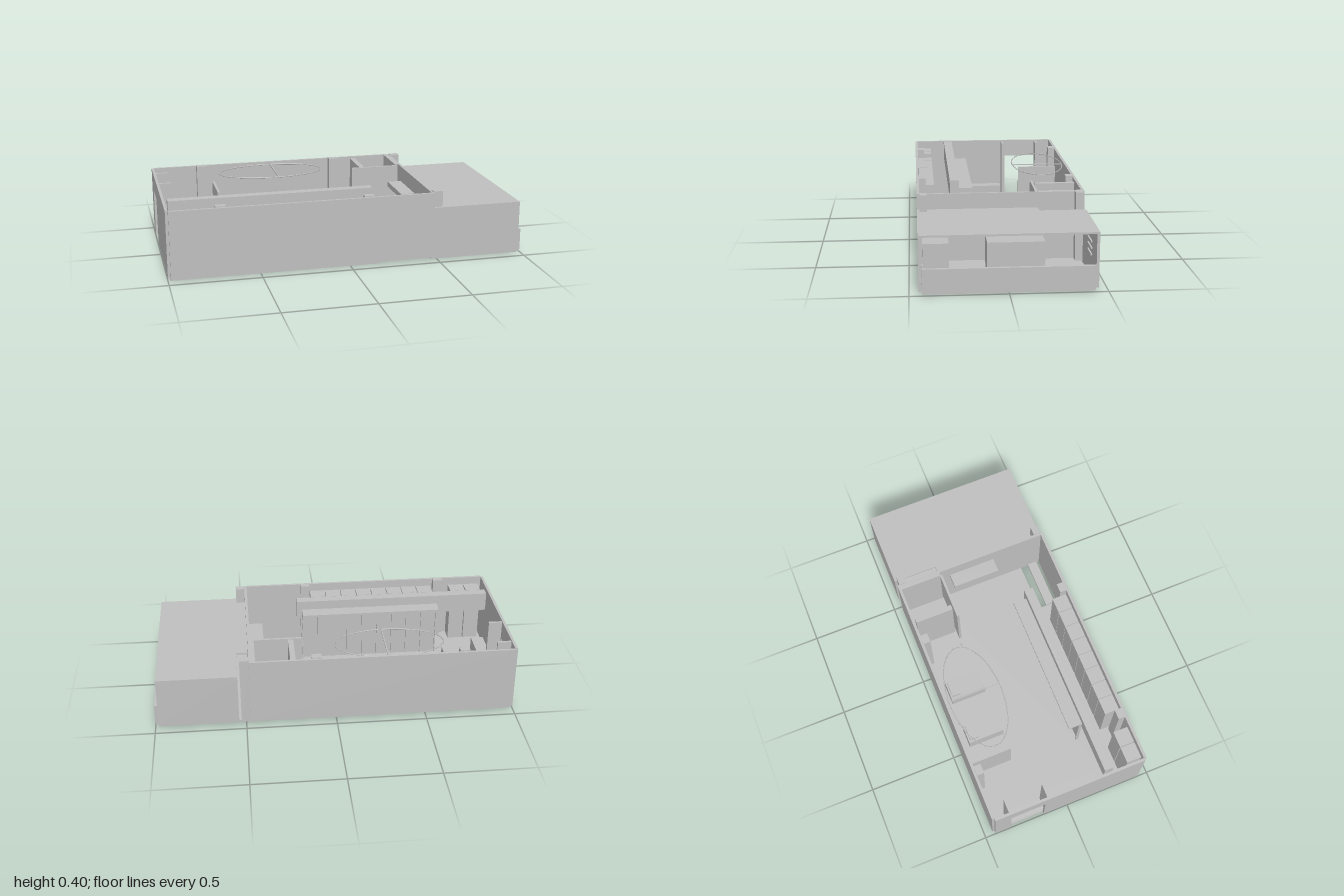
import * as THREE from 'three';

export function createModel() {
  const root = new THREE.Group();
  root.name = 'cutawayBuilding';
  const grey = new THREE.MeshStandardMaterial({ color: 0xbfbfbf });
  grey.name = 'plainGrey';

  // Box given by its limits on each axis
  const box = (name, x0, x1, y0, y1, z0, z1, parent = root) => {
    const mesh = new THREE.Mesh(new THREE.BoxGeometry(x1 - x0, y1 - y0, z1 - z0), grey);
    mesh.position.set((x0 + x1) / 2, (y0 + y1) / 2, (z0 + z1) / 2);
    mesh.name = name;
    parent.add(mesh);
    return mesh;
  };
  const group = (name) => {
    const g = new THREE.Group();
    g.name = name;
    root.add(g);
    return g;
  };
  const F = 0.015, TOP = 0.39;

  // Floor slab with a well beside the front wall
  const floor = group('floor');
  box('floorMain', -0.985, 0.98, 0, F, -0.435, 0.32, floor);
  box('floorFrontLeft', -0.985, 0.17, 0, F, 0.32, 0.435, floor);
  box('floorFrontRight', 0.465, 0.98, 0, F, 0.32, 0.435, floor);
  box('wellStep', 0.17, 0.465, 0.015, 0.03, 0.365, 0.42);

  // Long outer walls, with a gap in the back one
  const walls = group('outerWalls');
  box('frontWall', -0.985, 0.475, F, TOP, 0.438, 0.453, walls);
  box('frontWallLow', 0.475, 0.98, F, 0.295, 0.438, 0.453, walls);
  box('backWall', -0.985, 0.475, F, TOP, -0.453, -0.438, walls);
  box('backWallLow', 0.54, 0.98, F, 0.295, -0.453, -0.438, walls);

  // End wall with a doorway, and the low wall of the porch
  box('endWallFront', -1, -0.985, F, TOP, -0.145, 0.44, walls);
  box('endWallBack', -1, -0.985, F, TOP, -0.44, -0.345, walls);
  box('doorHead', -1, -0.985, 0.285, TOP, -0.345, -0.145, walls);
  box('porchParapet', 0.98, 1, F, 0.137, -0.435, 0.435, walls);

  // Porch roof, notched around the back passage
  const roof = group('porchRoof');
  box('roofMain', 0.54, 0.98, 0.295, 0.305, -0.453, 0.453, roof);
  box('roofSide', 0.475, 0.54, 0.295, 0.305, -0.2, 0.453, roof);

  // Columns along both long walls
  for (const x of [-0.735, 0.08, 0.472]) {
    box('backColumn', x, x + 0.054, F, 0.395, -0.44, -0.398);
    box('frontColumn', x, x + 0.054, F, 0.395, 0.4, 0.438);
  }

  // Inner walls
  const inner = group('innerWalls');
  box('dividerWall', 0.46, 0.475, F, TOP, -0.2, 0.438, inner);
  box('dividerWallBack', 0.44, 0.475, F, TOP, -0.438, -0.2, inner);
  box('smallRoomWall', 0.17, 0.445, F, 0.383, -0.202, -0.188, inner);
  box('smallRoomPartition', 0.22, 0.25, F, 0.383, -0.43, -0.21, inner);
  box('roomPartition', -0.64, -0.625, F, 0.285, -0.438, -0.2, inner);
  box('doorWingBack', -0.985, -0.908, F, 0.383, -0.355, -0.34, inner);
  box('doorWingFront', -0.985, -0.908, F, 0.383, -0.132, -0.117, inner);
  box('doorMat', -0.98, -0.91, F, 0.022, -0.335, -0.135, inner);

  // Beds with raised pillows
  const bed = (x0, x1, z0, z1, inset) => {
    const g = group('bed');
    box('mattress', x0, x1, F, 0.105, z0, z1, g);
    box('pillow', x0 + inset, x1 - inset, 0.105, 0.125, z0 + 0.01, z0 + 0.06, g);
  };
  bed(-0.48, -0.365, -0.39, -0.18, 0.013);
  bed(-0.2, -0.08, -0.39, -0.18, 0.013);
  bed(0.265, 0.42, -0.437, -0.203, 0.013);

  // Oval ceiling rail with a cross bar
  const rail = group('ovalRail');
  const ring = [];
  for (let i = 0; i < 64; i++) {
    const a = (i / 64) * Math.PI * 2;
    ring.push(new THREE.Vector3(0.305 * Math.cos(a), 0, 0.15 * Math.sin(a)));
  }
  const oval = new THREE.CatmullRomCurve3(ring, true);
  const railMesh = new THREE.Mesh(new THREE.TubeGeometry(oval, 96, 0.003, 6, true), grey);
  railMesh.name = 'railRing';
  railMesh.position.set(-0.31, 0.375, -0.28);
  rail.add(railMesh);
  box('railBar', -0.289, -0.283, 0.372, 0.378, -0.429, -0.131, rail);

  // Long beam and the row of display bays next to it
  box('longBeam', -0.97, 0.17, 0.28, TOP, 0.213, 0.265);
  const bays = group('displayBays');
  box('bayTop', -0.67, 0.14, 0.325, 0.338, 0.135, 0.213, bays);
  box('bayBack', -0.67, 0.14, F, 0.325, 0.205, 0.213, bays);
  for (let i = 0; i <= 9; i++) {
    const x = -0.67 + i * 0.0893;
    box('bayPost', x, x + 0.006, F, 0.325, 0.195, 0.205, bays);
  }

  // Row of tall cabinets against the front wall
  const cabinets = group('cabinets');
  for (let i = 0; i < 8; i++) {
    const x = -0.67 + i * 0.0937;
    box('cabinet', x, x + 0.09, F, 0.345, 0.352, 0.436, cabinets);
  }
  for (const x of [-0.967, -0.872]) box('cabinet', x, x + 0.09, F, 0.345, 0.352, 0.436, cabinets);

  // Counters and small fittings
  box('endCounter', -0.965, -0.892, F, 0.1, -0.105, 0.195);
  box('wallCabinet', 0.38, 0.46, 0.27, 0.3, -0.137, 0.137);
  box('wallPeg', 0.075, 0.09, 0.15, 0.165, -0.222, -0.212);

  // Porch furniture and wall bars
  box('porchBench', 0.83, 0.972, F, 0.26, -0.18, 0.11);
  box('porchCabinet', 0.83, 0.972, F, 0.26, 0.3, 0.43);
  for (const y of [0.17, 0.204, 0.237]) box('wallBar', 0.82, 0.93, y, y + 0.007, -0.423, -0.415);

  return root;
}
